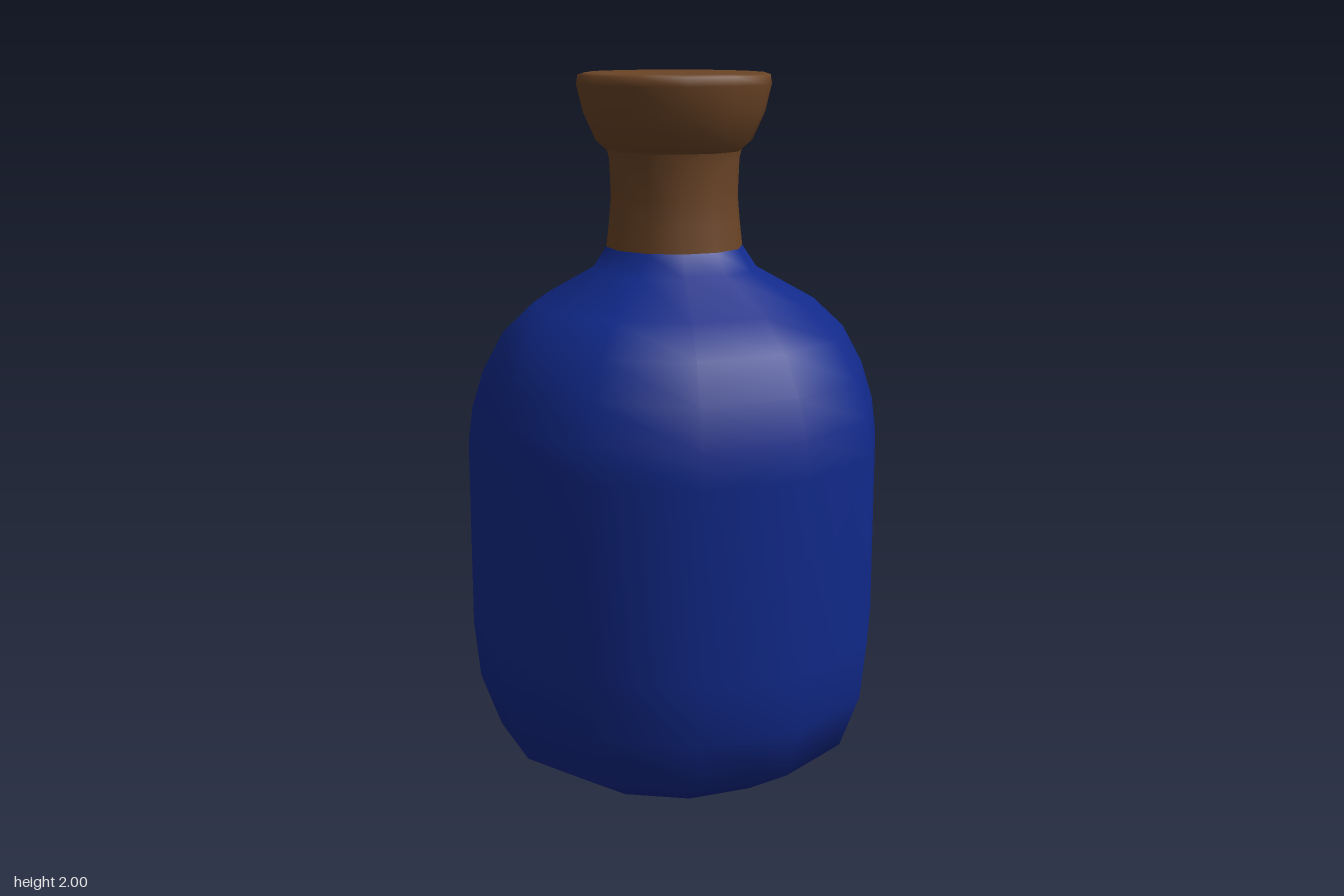
import * as THREE from 'three';

const SIDES = 12;

// Turns a profile of [radius, height] pairs into a smooth twelve-sided part
function turned(name, profile, material) {
  const points = profile.map(([r, y]) => new THREE.Vector2(r, y));
  const mesh = new THREE.Mesh(new THREE.LatheGeometry(points, SIDES), material);
  mesh.name = name;
  return mesh;
}

export function createModel() {
  const blue = new THREE.MeshStandardMaterial({ color: 0x11298a });
  blue.name = 'blue glass';
  const brown = new THREE.MeshStandardMaterial({ color: 0x6b4426 });
  brown.name = 'brown cork';

  const bottle = new THREE.Group();
  bottle.name = 'bottle';

  // Rounded body with a shallow pointed base and a short collar
  bottle.add(turned('body', [
    [0, 0.005], [0.35, 0.045], [0.51, 0.143], [0.566, 0.295], [0.583, 0.46],
    [0.583, 0.99], [0.57, 1.09], [0.537, 1.195], [0.48, 1.3], [0.395, 1.38],
    [0.23, 1.472], [0.19, 1.532],
  ], blue));

  // Slightly waisted neck
  bottle.add(turned('neck', [
    [0.19, 1.53], [0.182, 1.6], [0.176, 1.67], [0.18, 1.77], [0.19, 1.81],
  ], brown));

  // Flared stopper with a flat top
  bottle.add(turned('stopper', [
    [0.176, 1.785], [0.216, 1.82], [0.25, 1.895], [0.268, 1.97],
    [0.264, 1.994], [0.245, 2], [0, 2],
  ], brown));

  // The body is very slightly narrower from front to back
  bottle.scale.z = 0.99;
  return bottle;
}
